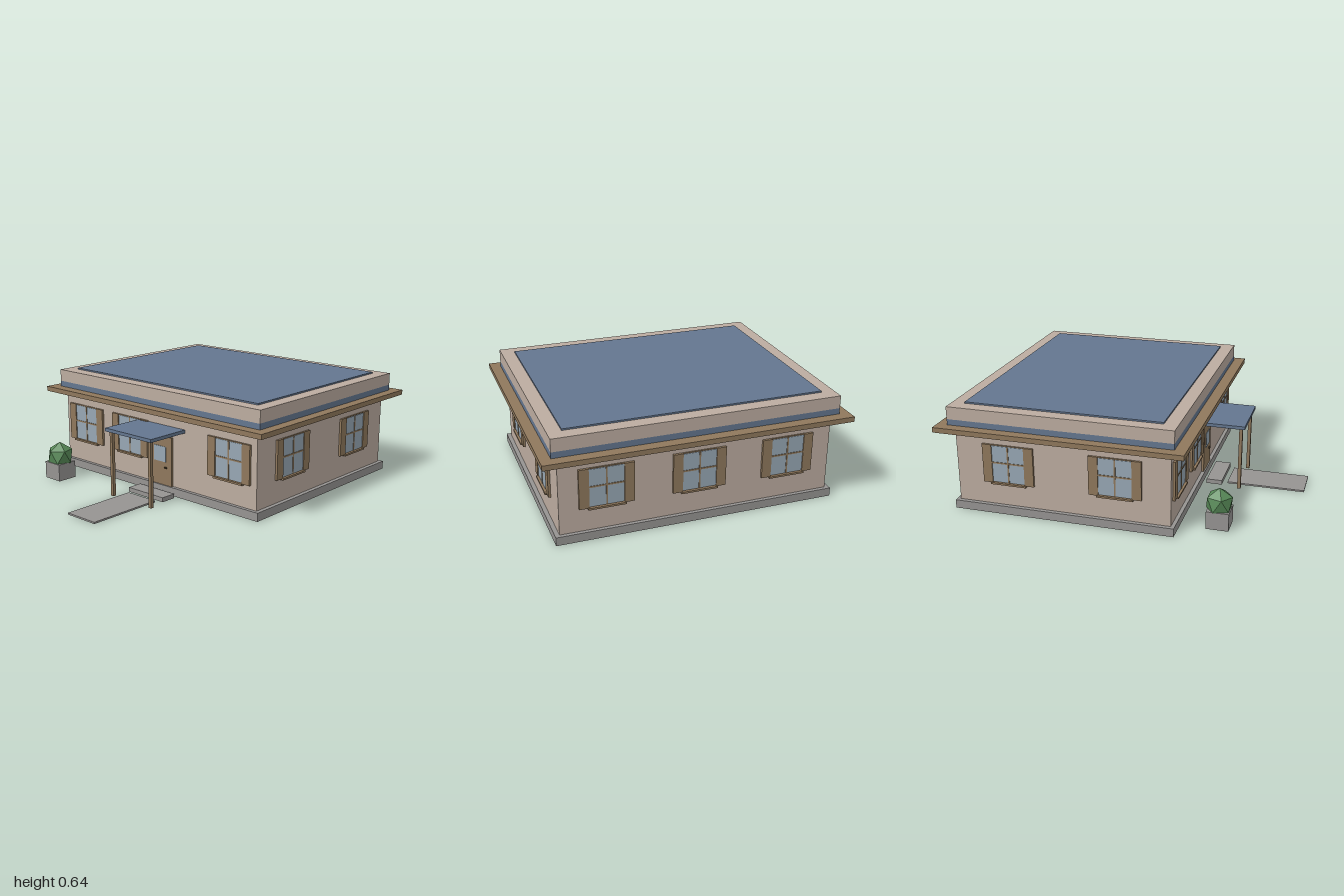
import * as THREE from 'three';

const mat = (name, color) => new THREE.MeshStandardMaterial({ name, color });

export function createModel() {
  const wall = mat('wall plaster', 0xbcaca0);
  const wood = mat('brown wood', 0x8f785c);
  const blue = mat('blue roofing', 0x64768f);
  const stone = mat('grey concrete', 0x969492);
  const glass = mat('window glass', 0x97a7b4);
  const green = mat('leaf green', 0x588a58);
  const metal = mat('dark handle', 0x4a3c2a);
  green.flatShading = true;

  const house = new THREE.Group();
  house.name = 'house';

  // Box given by its size, its centre in x and z, and its bottom height
  const box = (parent, name, material, w, h, d, x, y, z) => {
    const mesh = new THREE.Mesh(new THREE.BoxGeometry(w, h, d), material);
    mesh.name = name;
    mesh.position.set(x, y + h / 2, z);
    parent.add(mesh);
    return mesh;
  };

  // Main body, stacked from the ground up
  const zc = -0.274, halfX = 0.785, halfZ = 0.633;
  box(house, 'foundation', stone, 1.62, 0.05, 1.31, 0, 0, zc);
  box(house, 'walls', wall, halfX * 2, 0.445, halfZ * 2, 0, 0.05, zc);
  box(house, 'eaves', wood, 1.76, 0.03, 1.45, 0, 0.492, zc - 0.001);
  box(house, 'roofBand', blue, 1.638, 0.037, 1.322, 0, 0.52, zc - 0.003);
  box(house, 'parapet', wall, 1.638, 0.075, 1.322, 0, 0.556, zc - 0.003);
  box(house, 'roofPanel', blue, 1.48, 0.01, 1.164, 0, 0.63, zc - 0.004);

  // Window with shutters, facing +z with its back on the wall
  const addWindow = (x, z, angle) => {
    const win = new THREE.Group();
    win.name = 'window';
    box(win, 'windowFrame', wood, 0.205, 0.232, 0.006, 0, 0.188, 0.003);
    box(win, 'windowGlass', glass, 0.193, 0.22, 0.006, 0, 0.194, 0.006);
    box(win, 'verticalBar', wood, 0.009, 0.22, 0.008, 0, 0.194, 0.008);
    box(win, 'horizontalBar', wood, 0.193, 0.009, 0.008, 0, 0.307, 0.008);
    for (const s of [-1, 1]) box(win, 'shutter', wood, 0.056, 0.232, 0.014, s * 0.125, 0.188, 0.007);
    box(win, 'windowSill', wood, 0.212, 0.011, 0.022, 0, 0.18, 0.011);
    win.position.set(x, 0, z);
    win.rotation.y = angle;
    house.add(win);
  };
  for (const x of [-0.595, -0.198, 0.59]) addWindow(x, zc + halfZ, 0);
  for (const x of [-0.523, 0, 0.523]) addWindow(x, zc - halfZ, Math.PI);
  for (const side of [-1, 1])
    for (const dz of [-0.316, 0.316]) addWindow(side * halfX, zc + dz, side * Math.PI / 2);

  // Front door with window pane and handle
  const doorX = 0.064, front = zc + halfZ;
  box(house, 'door', wood, 0.185, 0.3, 0.014, doorX, 0.05, front + 0.007);
  box(house, 'doorPane', glass, 0.094, 0.094, 0.004, doorX, 0.194, front + 0.015);
  box(house, 'doorHandle', metal, 0.016, 0.009, 0.01, doorX + 0.047, 0.155, front + 0.018);

  // Porch canopy, posts, step and path
  box(house, 'porchRoof', blue, 0.375, 0.02, 0.278, doorX, 0.395, 0.498);
  for (const s of [-1, 1]) box(house, 'porchPost', wood, 0.02, 0.395, 0.02, doorX + s * 0.157, 0, 0.61);
  box(house, 'doorStep', stone, 0.282, 0.027, 0.096, doorX, 0, 0.452);
  box(house, 'path', stone, 0.22, 0.01, 0.47, doorX, 0, 0.765);

  // Planter with a faceted bush, one point facing up
  box(house, 'planter', stone, 0.13, 0.105, 0.13, -0.6, 0, 0.592);
  const bushShape = new THREE.IcosahedronGeometry(0.084, 0);
  bushShape.rotateX(-Math.atan((1 + Math.sqrt(5)) / 2));
  const bush = new THREE.Mesh(bushShape, green);
  bush.name = 'bush';
  bush.position.set(-0.6, 0.143, 0.59);
  bush.scale.y = 1.03;
  house.add(bush);

  return house;
}
